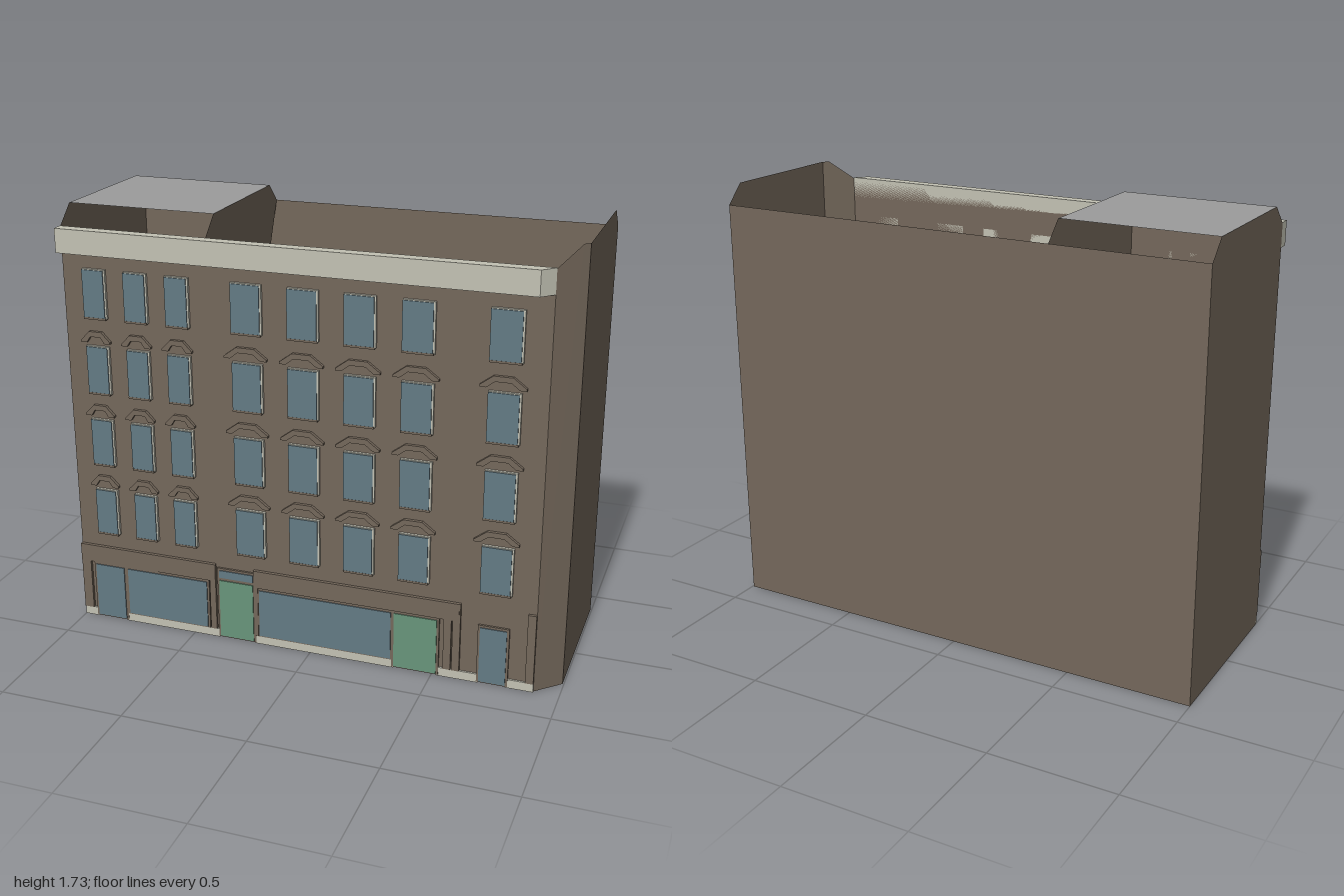
import * as THREE from 'three';

const mat = (name, color, side = THREE.FrontSide) => {
  const m = new THREE.MeshStandardMaterial({ color, side });
  m.name = name;
  return m;
};

export function createModel() {
  const brown = mat('brown masonry', 0x74685b, THREE.DoubleSide);
  const cream = mat('cream stone', 0xc3c2b4);
  const glass = mat('blue grey glass', 0x647b85);
  const green = mat('green door paint', 0x68957b);
  const grey = mat('grey roofing', 0x9c9c9c, THREE.DoubleSide);

  const model = new THREE.Group();
  model.name = 'cornerBuilding';
  const F = 0.335, B = -0.38, H = 1.65, T = 1.725; // front, back, eaves, parapet top

  const add = (name, geometry, material, parent = model) => {
    const m = new THREE.Mesh(geometry, material);
    m.name = name;
    parent.add(m);
    return m;
  };
  // Convex flat face from its corner points
  const face = (name, pts, material) => {
    const pos = [];
    for (let i = 1; i < pts.length - 1; i++) pos.push(...pts[0], ...pts[i], ...pts[i + 1]);
    const g = new THREE.BufferGeometry();
    g.setAttribute('position', new THREE.Float32BufferAttribute(pos, 3));
    g.computeVertexNormals();
    return add(name, g, material);
  };
  // Box given by x and y ranges, standing out from z0 to z1
  const slab = (name, x0, x1, y0, y1, z0, z1, material, parent = model) => {
    const m = add(name, new THREE.BoxGeometry(x1 - x0, y1 - y0, z1 - z0), material, parent);
    m.position.set((x0 + x1) / 2, (y0 + y1) / 2, (z0 + z1) / 2);
    return m;
  };

  // Hollow shell, open at the top, with a cut front corner
  face('frontWall', [[-1, 0, F], [0.9, 0, F], [0.9, H, F], [-1, H, F]], brown);
  face('cornerWall', [[0.9, 0, F], [0.995, 0, 0.245], [0.995, T, 0.245], [0.975, T, 0.264], [0.9, H, F]], brown);
  face('rightWall', [[0.995, 0, 0.245], [0.995, 0, B], [0.995, H, B], [0.995, T, -0.305], [0.995, T, 0.245]], brown);
  face('backWall', [[0.995, 0, B], [-1, 0, B], [-1, H, B], [0.995, H, B]], brown);
  face('leftWall', [[-1, 0, B], [-1, 0, F], [-1, H, F], [-1, T, 0.255], [-1, T, -0.305], [-1, H, B]], brown);
  face('partyWall', [[-0.4, 0, F], [-0.4, H, F], [-0.4, T, 0.255], [-0.4, T, -0.305], [-0.4, H, B]], brown);
  face('floor', [[-1, 0, B], [0.995, 0, B], [0.995, 0, 0.245], [0.9, 0, F], [-1, 0, F]], brown);
  face('roofPanel', [[-1, T, 0.255], [-0.4, T, 0.255], [-0.4, T, -0.305], [-1, T, -0.305]], grey);

  // Cornice with a mitred right end
  const plan = new THREE.Shape([[-1, -F], [-1, -0.382], [0.855, -0.382], [0.9, -F]].map(p => new THREE.Vector2(...p)));
  const corniceGeo = new THREE.ExtrudeGeometry(plan, { depth: 0.095, bevelEnabled: false });
  corniceGeo.rotateX(-Math.PI / 2);
  add('cornice', corniceGeo, cream).position.y = 1.558;

  // Upper windows and their hood mouldings
  const hood = hw => {
    const s = new THREE.Shape([
      [-hw, 0], [-hw + 0.025, 0], [-hw * 0.35, 0.024], [hw * 0.35, 0.024], [hw - 0.025, 0], [hw, 0],
      [hw, 0.008], [hw * 0.42, 0.045], [-hw * 0.42, 0.045], [-hw, 0.008],
    ].map(p => new THREE.Vector2(...p)));
    return new THREE.ExtrudeGeometry(s, { depth: 0.014, bevelEnabled: false });
  };
  const columns = [-0.868, -0.695, -0.523, -0.243, -0.02, 0.2, 0.42, 0.74];
  [0.39, 0.692, 0.995, 1.302].forEach((y, row) => {
    columns.forEach((x, i) => {
      const w = i < 3 ? 0.046 : 0.059;
      const win = new THREE.Group();
      win.name = 'window';
      model.add(win);
      slab('windowFrame', x - w, x + w + 0.004, y, y + 0.195, F, F + 0.011, cream, win);
      slab('windowPane', x - w, x + w - 0.003, y + 0.004, y + 0.191, F + 0.011, F + 0.015, glass, win);
      slab('windowSill', x - w, x + w, y - 0.004, y + 0.004, F, F + 0.016, brown, win);
      if (row < 3) add('windowHood', hood(i < 3 ? 0.062 : 0.086), brown, win).position.set(x - 0.005, y + 0.208, F);
    });
  });

  // Cream plinth between the doors
  for (const [a, b] of [[-1, -0.94], [-0.81, -0.39], [-0.235, 0.345], [0.52, 0.685], [0.79, 0.9]])
    slab('plinth', a, b, 0, 0.036, F, F + 0.008, cream);

  // Shopfront fascias and pilasters
  for (const [a, b] of [[-1, -0.4], [-0.235, 0.605]]) slab('shopFascia', a, b, 0.252, 0.326, F, F + 0.014, brown);
  for (const [a, b] of [[-1, -0.96], [-0.425, -0.4], [-0.237, -0.218], [0.545, 0.575], [0.58, 0.61], [0.868, 0.9]])
    slab('pilaster', a, b, 0.036, 0.326, F, F + 0.012, brown);

  // Framed openings on the street floor
  const opening = (name, x0, x1, y0, y1, material) => {
    const f = 0.009;
    slab(name + 'Frame', x0, x1, y0, y1, F, F + 0.009, brown);
    slab(name, x0 + f, x1 - f, y0 + f * 0.6, y1 - f, F + 0.009, F + 0.013, material);
  };
  opening('shopWindow', -0.8, -0.43, 0.034, 0.25, glass);
  opening('shopWindow', -0.222, 0.343, 0.034, 0.25, glass);
  opening('glassDoor', -0.945, -0.8, 0.004, 0.25, glass);
  opening('glassDoor', 0.678, 0.8, 0.004, 0.25, glass);
  opening('greenDoor', -0.392, -0.23, 0.004, 0.268, green);
  opening('greenDoor', 0.338, 0.527, 0.004, 0.25, green);
  opening('doorTransom', -0.392, -0.23, 0.266, 0.312, glass);

  return model;
}
